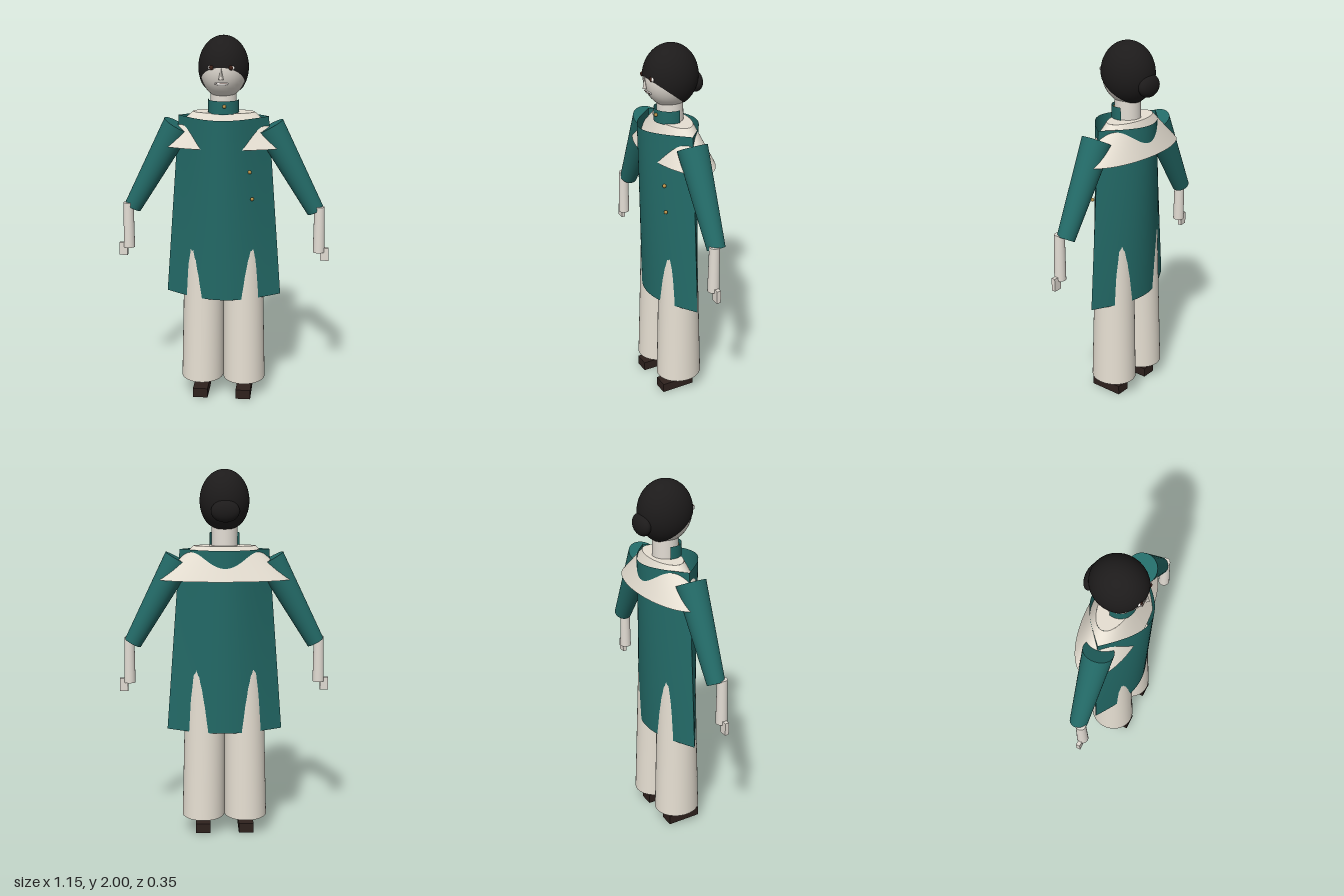
import * as THREE from 'three';

const mat = (color, side = THREE.FrontSide) => new THREE.MeshStandardMaterial({ color, side });
const teal = mat(0x236a67);
const tealOpen = mat(0x236a67, THREE.DoubleSide);
const cream = mat(0xe6dfd2);
const creamOpen = mat(0xe6dfd2, THREE.DoubleSide);
const skin = mat(0xe2dcd3);
const hairMat = mat(0x1d1b1b, THREE.DoubleSide);
const shoeMat = mat(0x2e211d);
const gold = mat(0xb8924a);
const brown = mat(0x3c2018);
const white = mat(0xf2eeea);

export function createModel() {
  const model = new THREE.Group();
  model.name = 'figure';

  const add = (name, geometry, material, x = 0, y = 0, z = 0) => {
    const mesh = new THREE.Mesh(geometry, material);
    mesh.name = name;
    mesh.position.set(x, y, z);
    model.add(mesh);
    return mesh;
  };
  const ellipsoid = (rx, ry, rz, w = 32, h = 24) => new THREE.SphereGeometry(1, w, h).scale(rx, ry, rz);

  // Tapered cylinder running from point a to point b
  const limb = (name, a, b, ra, rb, material) => {
    const dir = new THREE.Vector3().subVectors(a, b);
    const mesh = add(name, new THREE.CylinderGeometry(ra, rb, dir.length(), 32), material);
    mesh.position.addVectors(a, b).multiplyScalar(0.5);
    mesh.quaternion.setFromUnitVectors(new THREE.Vector3(0, 1, 0), dir.normalize());
    return mesh;
  };

  // Closed vertical form with an elliptical section that changes from bottom to top
  const ellipticFrustum = (bottom, top, segments = 40) => {
    const g = new THREE.CylinderGeometry(1, 1, 1, segments, 1);
    const p = g.attributes.position;
    for (let i = 0; i < p.count; i++) {
      const t = p.getY(i) + 0.5;
      const mix = (k) => THREE.MathUtils.lerp(bottom[k], top[k], t);
      p.setXYZ(i, mix('x') + p.getX(i) * mix('rx'), mix('y'), mix('z') + p.getZ(i) * mix('rz'));
    }
    g.computeVertexNormals();
    return g;
  };

  // Coat panel: bowed sheet, pointed at the side seams, flared towards the hem
  const coatPanel = (side, depthBottom, depthTop) => {
    const g = new THREE.PlaneGeometry(2, 1, 40, 10);
    const p = g.attributes.position;
    for (let i = 0; i < p.count; i++) {
      const u = p.getX(i);
      const t = p.getY(i) + 0.5;
      const halfWidth = THREE.MathUtils.lerp(0.315, 0.24, t);
      const depth = THREE.MathUtils.lerp(depthBottom, depthTop, t);
      p.setXYZ(i, side * u * halfWidth, 0.59 + 0.99 * t, side * depth * Math.cos(u * Math.PI / 2));
    }
    g.computeVertexNormals();
    return g;
  };
  add('coatFront', coatPanel(1, 0.14, 0.175), tealOpen);
  add('coatBack', coatPanel(-1, 0.115, 0.145), tealOpen);

  // Shoulder cape
  add('cape', ellipticFrustumOpen(), creamOpen);
  add('capeTop', new THREE.CircleGeometry(1, 40).rotateX(-Math.PI / 2).scale(0.165, 1, 0.08), creamOpen, 0, 1.6, -0.015);

  // Neck and wrap-around collar, open at the back
  add('neck', new THREE.CylinderGeometry(0.068, 0.07, 0.15, 32), skin, 0, 1.645, 0);
  const arc = Math.PI * 1.16;
  add('collar', new THREE.CylinderGeometry(0.081, 0.081, 0.07, 32, 1, true, -arc / 2, arc), tealOpen, 0, 1.632, 0.004);

  // Buttons
  for (const [x, y, z] of [[0.012, 1.64, 0.088], [0.148, 1.3, 0.112], [0.162, 1.155, 0.112]]) {
    add('button', ellipsoid(0.01, 0.01, 0.01, 12, 8), gold, x, y, z);
  }

  // Head, tilted hair cap and bun
  add('head', ellipsoid(0.126, 0.162, 0.142), skin, 0, 1.835, 0);
  const hair = new THREE.SphereGeometry(1, 48, 32, 0, Math.PI * 2, 0, THREE.MathUtils.degToRad(120.5));
  hair.rotateX(-THREE.MathUtils.degToRad(34.6)).scale(0.132, 0.165, 0.147);
  add('hair', hair, hairMat, 0, 1.835, -0.002);
  add('hairBun', ellipsoid(0.075, 0.058, 0.038), hairMat, 0, 1.785, -0.137);

  // Face
  const nose = new THREE.ConeGeometry(0.013, 0.065, 4);
  add('nose', nose, skin, 0, 1.818, 0.143);
  add('mouth', ellipsoid(0.036, 0.01, 0.008, 20, 10), white, 0, 1.764, 0.125);
  add('lipLine', new THREE.BoxGeometry(0.06, 0.002, 0.004), brown, 0, 1.766, 0.132);

  for (const s of [1, -1]) {
    const side = s > 0 ? 'left' : 'right';
    add(side + 'Eye', ellipsoid(0.019, 0.012, 0.008, 16, 10), white, s * 0.05, 1.845, 0.129);
    add(side + 'Iris', ellipsoid(0.011, 0.012, 0.006, 16, 10), brown, s * 0.05, 1.846, 0.135);

    // Sleeve, forearm and hand
    limb(side + 'Sleeve', new THREE.Vector3(s * 0.245, 1.527, 0.005), new THREE.Vector3(s * 0.498, 1.072, 0.005), 0.08, 0.048, teal);
    limb(side + 'Forearm', new THREE.Vector3(s * 0.518, 1.1, 0.028), new THREE.Vector3(s * 0.52, 0.848, 0.03), 0.027, 0.031, skin);
    add(side + 'Hand', new THREE.BoxGeometry(0.045, 0.07, 0.022), skin, s * 0.552, 0.836, 0.029);

    // Trouser leg and shoe
    add(side + 'TrouserLeg', ellipticFrustum(
      { x: s * 0.1175, y: 0.095, z: 0.0075, rx: 0.1175, rz: 0.1275 },
      { x: s * 0.104, y: 1.1, z: 0.0075, rx: 0.104, rz: 0.0975 }), cream);
    add(side + 'Shoe', new THREE.BoxGeometry(0.082, 0.053, 0.19), shoeMat, s * 0.12, 0.0265, 0.033);
  }
  return model;
}

// Open flared ring of the cape
function ellipticFrustumOpen() {
  const g = new THREE.CylinderGeometry(1, 1, 1, 64, 6, true);
  const p = g.attributes.position;
  for (let i = 0; i < p.count; i++) {
    const t = p.getY(i) + 0.5;
    const rx = THREE.MathUtils.lerp(0.36, 0.165, t);
    const rz = THREE.MathUtils.lerp(0.155, 0.08, t);
    p.setXYZ(i, p.getX(i) * rx, 1.42 + 0.18 * t, p.getZ(i) * rz - 0.015);
  }
  g.computeVertexNormals();
  return g;
}
